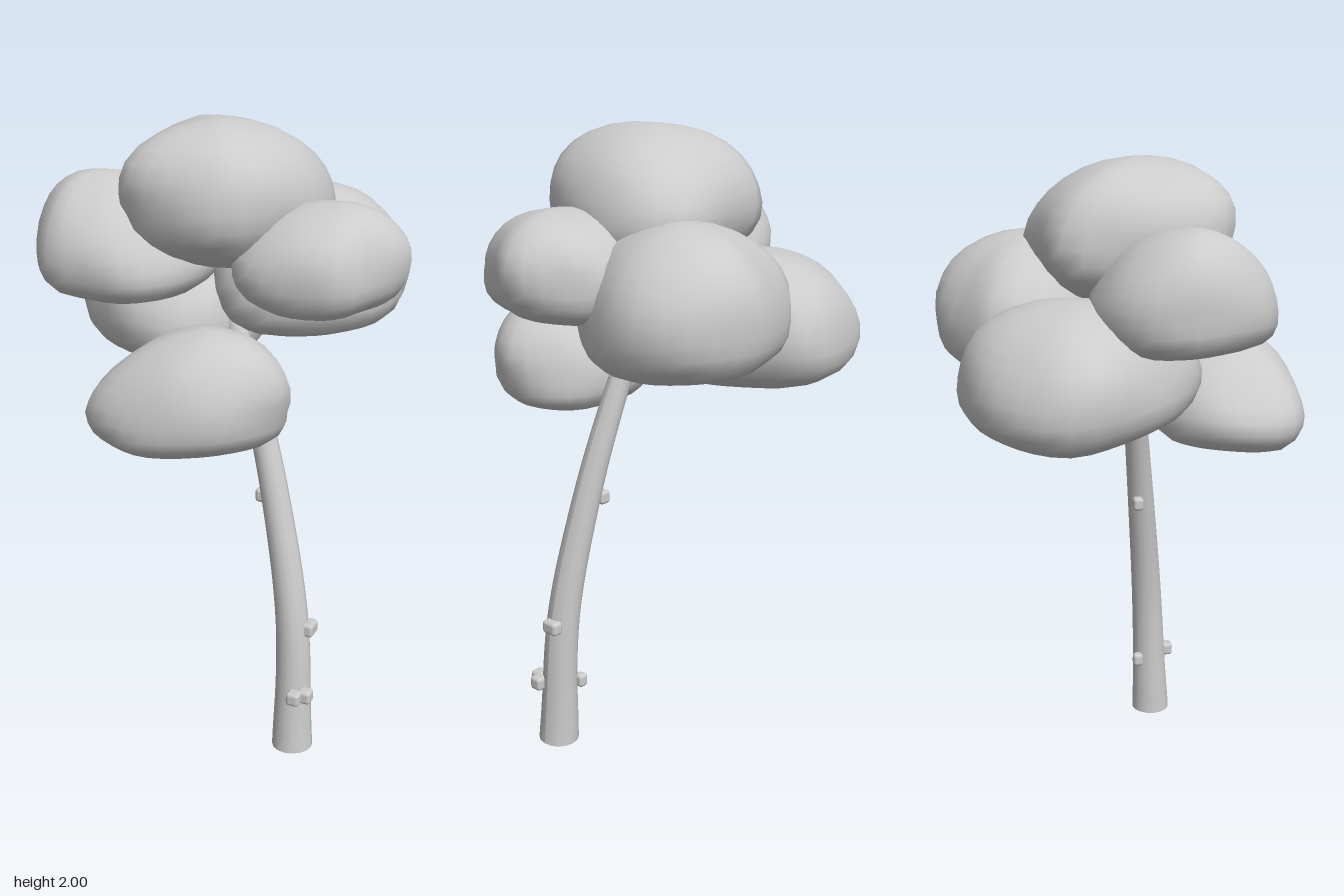
import * as THREE from 'three';
import { RoundedBoxGeometry } from 'three/addons/geometries/RoundedBoxGeometry.js';

const mat = new THREE.MeshStandardMaterial({ color: 0xcccccc });
const openMat = new THREE.MeshStandardMaterial({ color: 0xcccccc, side: THREE.DoubleSide });
const AROUND = 28, RINGS = 13;

function addMesh(parent, name, geometry, material = mat) {
  const mesh = new THREE.Mesh(geometry, material);
  mesh.name = name;
  parent.add(mesh);
  return mesh;
}

// Width of a clump at height t (0..1): widest at the belly, rounded below by foot and above by dome
function clumpWidth(t, belly, foot, dome) {
  if (t < belly) return (1 - (1 - t / belly) ** foot) ** (1 / foot);
  return Math.sqrt(1 - ((t - belly) / (1 - belly)) ** dome);
}

// Leaf clump: a plan outline of [x, z] points swept up the dome, with soft lumps and a leaning top
function clumpGeometry(outline, { bottom, top, belly, foot, dome, leanX = 0, leanZ = 0 }) {
  const points = outline.map(([x, z]) => new THREE.Vector3(x, 0, z));
  const centre = points.reduce((s, p) => s.add(p), new THREE.Vector3()).divideScalar(points.length);
  points.forEach(p => p.sub(centre));
  points.sort((a, b) => Math.atan2(a.z, a.x) - Math.atan2(b.z, b.x));
  const loop = new THREE.CatmullRomCurve3(points, true).getSpacedPoints(AROUND);
  const seed = (centre.x + centre.z) * 20;
  const pos = [], index = [];
  for (let j = 0; j <= RINGS; j++) {
    const t = 0.5 - 0.5 * Math.cos(Math.PI * (j + 0.6) / (RINGS + 1.2));
    const width = clumpWidth(t, belly, foot, dome);
    const lean = Math.max(0, t - belly);
    for (let i = 0; i < AROUND; i++) {
      const a = i / AROUND * Math.PI * 2;
      const lump = 0.02 * Math.sin(3 * a + seed + j * 0.5) + 0.02 * Math.sin(5 * a - seed - j * 0.7);
      const k = width * (1 + lump * 4 * t * (1 - t));
      pos.push(
        centre.x + loop[i].x * k + leanX * lean,
        bottom + (top - bottom) * t + 0.01 * width * Math.sin(2 * a + seed),
        centre.z + loop[i].z * k + leanZ * lean);
    }
  }
  // Walls
  for (let j = 0; j < RINGS; j++) {
    for (let i = 0; i < AROUND; i++) {
      const a = j * AROUND + i, b = j * AROUND + (i + 1) % AROUND;
      const c = a + AROUND, d = b + AROUND;
      index.push(a, c, b, b, c, d);
    }
  }
  // Underside and crest
  const under = pos.length / 3, lastRing = RINGS * AROUND;
  pos.push(centre.x, bottom, centre.z);
  pos.push(centre.x + leanX * (1 - belly), top, centre.z + leanZ * (1 - belly));
  for (let i = 0; i < AROUND; i++) {
    const n = (i + 1) % AROUND;
    index.push(under, i, n, under + 1, lastRing + n, lastRing + i);
  }
  const g = new THREE.BufferGeometry();
  g.setAttribute('position', new THREE.Float32BufferAttribute(pos, 3));
  g.setIndex(index);
  g.computeVertexNormals();
  return g;
}

// Curved trunk, open at the foot: a unit tube pulled in to a tapering radius
function trunkGeometry() {
  const path = new THREE.CatmullRomCurve3([
    new THREE.Vector3(0.325, 0, 0.146),
    new THREE.Vector3(0.308, 0.45, 0.127),
    new THREE.Vector3(0.23, 0.85, 0.09),
    new THREE.Vector3(0.16, 1.1, 0.062),
    new THREE.Vector3(0.02, 1.5, 0.015),
  ]);
  const steps = 28, sides = 16;
  const g = new THREE.TubeGeometry(path, steps, 1, sides);
  const pos = g.attributes.position, v = new THREE.Vector3();
  for (let j = 0; j <= steps; j++) {
    const t = j / steps, c = path.getPointAt(t);
    const r = 0.061 - 0.03 * t + 0.005 * Math.max(0, 1 - t * 8);
    for (let i = 0; i <= sides; i++) {
      const k = j * (sides + 1) + i;
      v.fromBufferAttribute(pos, k).sub(c).multiplyScalar(r).add(c);
      pos.setXYZ(k, v.x, Math.max(v.y, 0), v.z);
    }
  }
  g.computeVertexNormals();
  return g;
}

export function createModel() {
  const tree = new THREE.Group();
  tree.name = 'tree';

  const trunk = new THREE.Group();
  trunk.name = 'trunk';
  tree.add(trunk);
  addMesh(trunk, 'trunkStem', trunkGeometry(), openMat);

  // Bark knots, the lowest one a pair
  const addKnot = (w, d, x, y, z) =>
    addMesh(trunk, 'barkKnot', new RoundedBoxGeometry(w, 0.045, d, 3, 0.012)).position.set(x, y, z);
  addKnot(0.045, 0.045, 0.35, 0.215, 0.205);
  addKnot(0.045, 0.045, 0.378, 0.215, 0.178);
  addKnot(0.035, 0.035, 0.272, 0.215, 0.09);
  addKnot(0.04, 0.06, 0.365, 0.43, 0.12);
  addKnot(0.04, 0.035, 0.178, 0.84, 0.072);

  // Foliage
  const crown = new THREE.Group();
  crown.name = 'crown';
  tree.add(crown);
  const addClump = (name, outline, shape) => addMesh(crown, name, clumpGeometry(outline, shape));
  addClump('topClump',
    [[-0.22, -0.23], [-0.1, -0.27], [0.18, -0.285], [0.29, -0.21], [0.33, -0.07], [0.27, 0.14], [0.18, 0.28], [0.01, 0.32], [-0.19, 0.28], [-0.25, 0.05]],
    { bottom: 1.56, top: 2, belly: 0.45, foot: 2.2, dome: 2.3, leanX: -0.06, leanZ: 0.08 });
  addClump('frontClump',
    [[-0.22, 0.47], [-0.13, 0.54], [0.03, 0.575], [0.23, 0.5], [0.345, 0.31], [0.25, 0.15], [0.08, 0.1], [-0.1, 0.12], [-0.21, 0.26]],
    { bottom: 1.09, top: 1.455, belly: 0.34, foot: 3, dome: 1.7, leanX: 0.13 });
  addClump('upperRightClump',
    [[-0.53, 0.05], [-0.53, 0.17], [-0.39, 0.37], [-0.29, 0.38], [-0.12, 0.355], [0.02, 0.17], [-0.05, -0.09], [-0.3, -0.15], [-0.47, -0.06]],
    { bottom: 1.47, top: 1.835, belly: 0.36, foot: 3.2, dome: 1.55, leanX: -0.08 });
  addClump('upperLeftClump',
    [[0.18, -0.15], [0.43, -0.19], [0.51, -0.14], [0.595, 0], [0.53, 0.16], [0.48, 0.25], [0.28, 0.285], [0.13, 0.2], [0.09, 0.02]],
    { bottom: 1.46, top: 1.785, belly: 0.42, foot: 2.7, dome: 2, leanX: 0.04 });
  addClump('backRightClump',
    [[-0.595, -0.25], [-0.42, -0.465], [-0.22, -0.535], [-0.1, -0.52], [0.02, -0.35], [0.09, -0.05], [0, 0.17], [-0.25, 0.17], [-0.5, -0.04]],
    { bottom: 1.2, top: 1.62, belly: 0.36, foot: 2.5, dome: 2.2 });
  addClump('backLeftClump',
    [[-0.12, -0.42], [0.02, -0.51], [0.22, -0.58], [0.4, -0.5], [0.49, -0.33], [0.46, -0.17], [0.3, 0.05], [0.12, 0.13], [-0.1, -0.12]],
    { bottom: 1.32, top: 1.765, belly: 0.42, foot: 3.2, dome: 1.9 });

  return tree;
}
